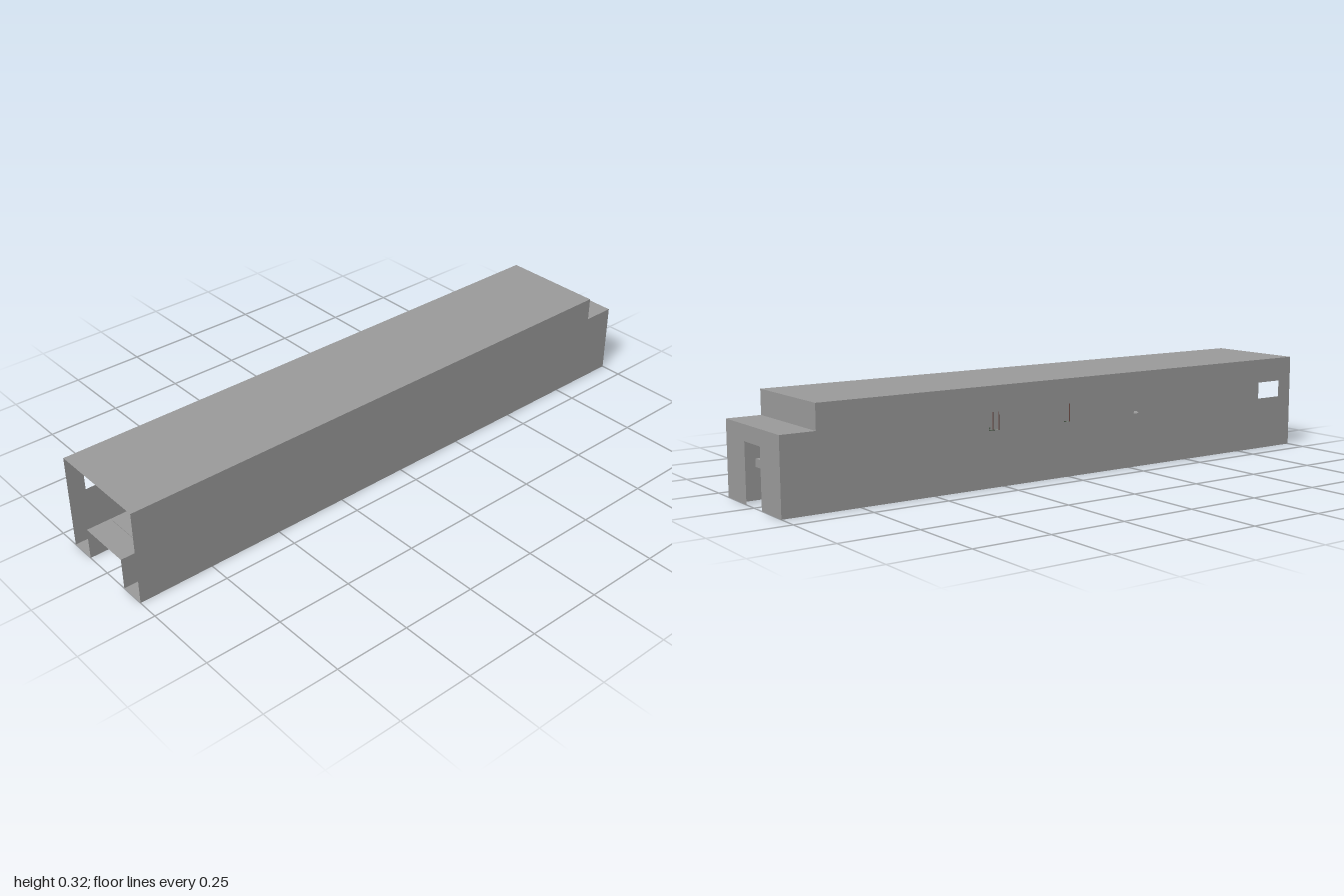
import * as THREE from 'three';

const grey = new THREE.MeshStandardMaterial({ color: 0x9a9a9a, side: THREE.DoubleSide, flatShading: true });
const smooth = new THREE.MeshStandardMaterial({ color: 0x9a9a9a, side: THREE.DoubleSide });
const rust = new THREE.MeshStandardMaterial({ color: 0x6a4a44 });
const green = new THREE.MeshStandardMaterial({ color: 0x4a5a48 });

const HALF = 0.177, TOP = 0.316, LOW = 0.237, STEP = -0.888, DECK = 0.105;

export function createModel() {
  const model = new THREE.Group();

  function add(name, geometry, x = 0, y = 0, z = 0, material = grey) {
    const mesh = new THREE.Mesh(geometry, material);
    mesh.name = name;
    mesh.position.set(x, y, z);
    model.add(mesh);
    return mesh;
  }
  const polygon = (pts) => new THREE.Shape(pts.map(([a, b]) => new THREE.Vector2(a, b)));

  // box given by its limits
  function block(name, x0, x1, y0, y1, z0, z1, material = grey) {
    add(name, new THREE.BoxGeometry(x1 - x0, y1 - y0, z1 - z0), (x0 + x1) / 2, (y0 + y1) / 2, (z0 + z1) / 2, material);
  }
  // horizontal sheet
  function sheet(name, x0, x1, z0, z1, y) {
    add(name, new THREE.PlaneGeometry(x1 - x0, z1 - z0).rotateX(-Math.PI / 2), (x0 + x1) / 2, y, (z0 + z1) / 2);
  }

  // long side walls, the right one with a row of windows
  for (const side of [-1, 1]) {
    const wall = polygon([[-1, 0], [1, 0], [1, TOP], [STEP, TOP], [STEP, LOW], [-1, LOW]]);
    if (side < 0) {
      for (let i = 0; i < 7; i++) {
        const z = -0.832 + i * 0.2875;
        wall.holes.push(polygon([[z - 0.05, 0.178], [z - 0.05, 0.235], [z + 0.05, 0.235], [z + 0.05, 0.178]]));
      }
    }
    add(side < 0 ? 'rightWall' : 'leftWall', new THREE.ShapeGeometry(wall).rotateY(-Math.PI / 2), side * HALF);

    // floor strip and trench wall
    const inner = side * 0.092;
    sheet('floorStrip', Math.min(inner, side * HALF), Math.max(inner, side * HALF), -1, 1, 0);
    add('trenchWall', new THREE.PlaneGeometry(2, DECK).rotateY(Math.PI / 2), inner, DECK / 2, 0);
  }

  // roof, its step, and the lower roof at the back
  sheet('roof', -HALF, HALF, STEP, 1, TOP);
  sheet('lowerRoof', -HALF, HALF, -1, STEP, LOW);
  add('roofStep', new THREE.PlaneGeometry(2 * HALF, TOP - LOW), 0, (TOP + LOW) / 2, STEP);

  // back wall with doorway
  add('backWall', new THREE.ShapeGeometry(polygon([
    [-HALF, 0], [-0.052, 0], [-0.052, 0.187], [0.052, 0.187], [0.052, 0], [HALF, 0], [HALF, LOW], [-HALF, LOW],
  ])), 0, 0, -1);

  // thin deck with deeper conveyor sections
  sheet('deck', -0.092, 0.092, -0.95, 1, DECK);
  for (const [z0, z1] of [[0.375, 0.92], [-0.6, -0.18]]) block('conveyor', -0.08, 0.079, 0.072, 0.108, z0, z1);
  block('deckEnd', -0.092, 0.09, 0.1, 0.125, -0.95, -0.9);

  // tipped load near the front
  const load = add('tippedBlock', new THREE.BoxGeometry(0.06, 0.05, 0.06), -0.036, 0.102, 0.84);
  load.rotation.set(0.35, 0.4, 0.35);

  // cross frames with arched tops
  for (const z of [0.46, -0.25, -0.6]) {
    const frame = polygon([[-0.092, 0.1], [0.09, 0.1], [0.09, 0.135], [0.082, 0.135], [0.082, 0.128]]);
    frame.absarc(0.06, 0.117, 0.021, 0.5, Math.PI - 0.5, false);
    frame.absarc(0, 0.117, 0.021, 0.5, Math.PI - 0.5, false);
    for (const [x, y] of [[-0.05, 0.128], [-0.075, 0.135], [-0.092, 0.135]]) frame.lineTo(x, y);
    for (const x of [0, 0.06]) {
      const hole = new THREE.Path();
      hole.absarc(x, 0.119, 0.011, 0, Math.PI * 2, true);
      frame.holes.push(hole);
    }
    add('crossFrame', new THREE.ExtrudeGeometry(frame, { depth: 0.02, bevelEnabled: false, curveSegments: 8 }), 0, 0, z);
  }

  // thin hoops carrying an overhead rail
  const r = 0.016;
  for (const z of [0.08, -0.2]) {
    for (const x of [-0.059, 0.001]) {
      const path = [new THREE.Vector3(x - r, DECK, z)];
      for (let i = 0; i <= 8; i++) {
        const a = Math.PI * (1 - i / 8);
        path.push(new THREE.Vector3(x + r * Math.cos(a), 0.22 + r * Math.sin(a), z));
      }
      path.push(new THREE.Vector3(x + r, DECK, z));
      add('hoop', new THREE.TubeGeometry(new THREE.CatmullRomCurve3(path), 40, 0.0013, 6), 0, 0, 0, rust);
      // ribbed collar between the posts
      for (let i = 0; i < 3; i++) {
        add('collar', new THREE.TorusGeometry(r, 0.0012, 5, 20).rotateX(Math.PI / 2), x, 0.138 + i * 0.007, z, green);
      }
    }
    block('overheadRail', -0.06, 0.037, 0.236, 0.239, z - 0.003, z + 0.003, rust);
  }

  // upright round-topped tank
  add('tank', new THREE.CapsuleGeometry(0.009, 0.06, 6, 14), -0.061, 0.139, -0.09, smooth);

  return model;
}
